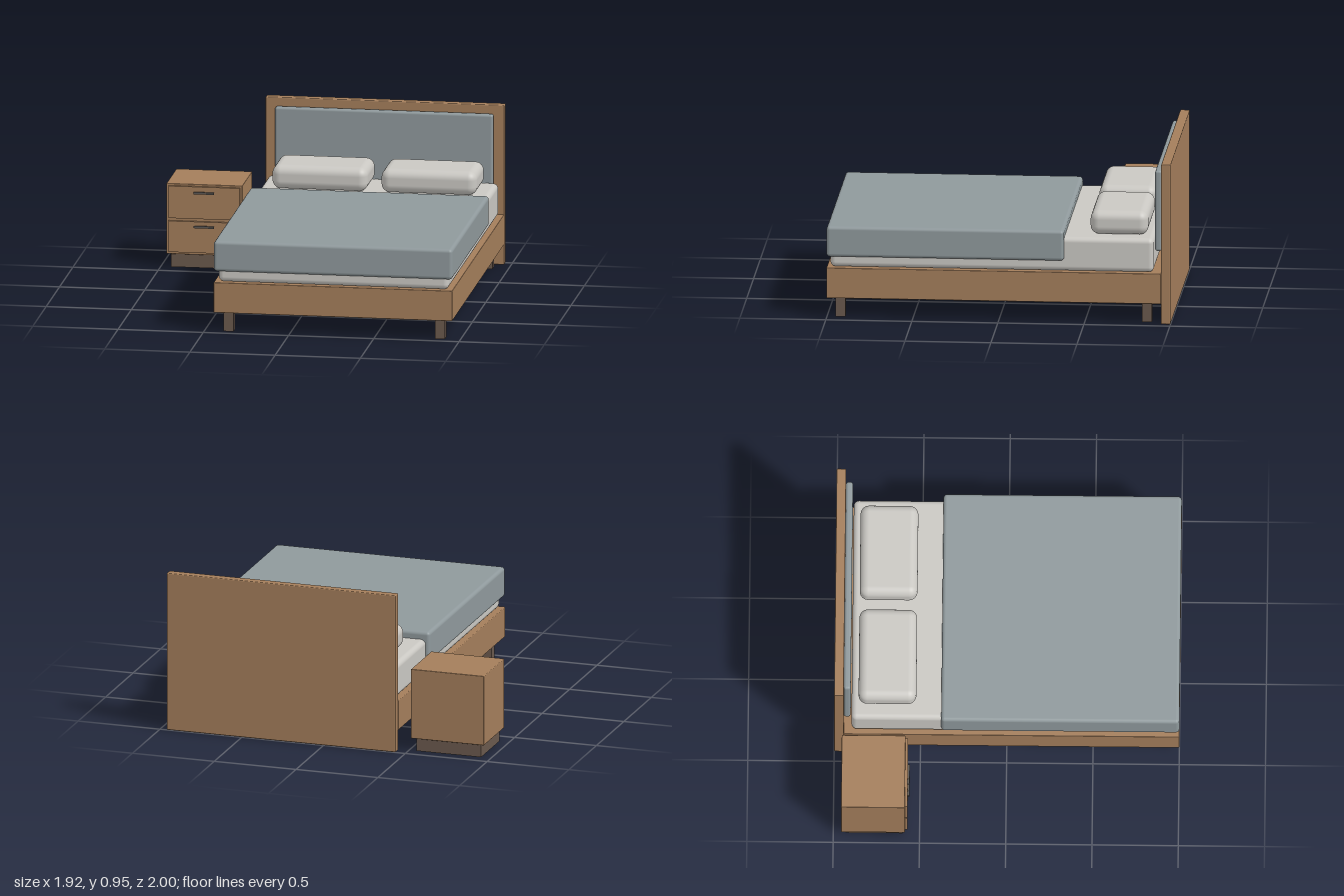
import * as THREE from 'three';
import { RoundedBoxGeometry } from 'three/addons/geometries/RoundedBoxGeometry.js';

const mat = (name, color) => {
  const m = new THREE.MeshStandardMaterial({ color });
  m.name = name;
  return m;
};

export function createModel() {
  const wood = mat('wood', 0xa47e5b);
  const darkWood = mat('dark wood', 0x6a594d);
  const handleMetal = mat('handle metal', 0x5c5854);
  const linen = mat('linen', 0xcac8c3);
  const fabric = mat('blue grey fabric', 0x8f999c);

  // Box given by its [min, max] extents; radius 0 keeps sharp edges
  const box = (parent, name, material, [x0, x1], [y0, y1], [z0, z1], radius = 0, segments = 4) => {
    const size = [x1 - x0, y1 - y0, z1 - z0];
    const geometry = radius
      ? new RoundedBoxGeometry(...size, segments, radius)
      : new THREE.BoxGeometry(...size);
    const mesh = new THREE.Mesh(geometry, material);
    mesh.name = name;
    mesh.position.set((x0 + x1) / 2, (y0 + y1) / 2, (z0 + z1) / 2);
    parent.add(mesh);
    return mesh;
  };

  const model = new THREE.Group();
  model.name = 'bedAndNightstand';

  // Bed, centred on its own x = 0
  const bed = new THREE.Group();
  bed.name = 'bed';
  bed.position.x = 0.26;
  model.add(bed);

  box(bed, 'bedFrame', wood, [-0.7, 0.7], [0.12, 0.3], [-0.945, 1], 0.004, 2);
  box(bed, 'headboard', wood, [-0.7, 0.7], [0, 0.95], [-1, -0.945], 0.006, 2);
  box(bed, 'headboardPad', fabric, [-0.64, 0.64], [0.42, 0.9], [-0.945, -0.905], 0.015);
  box(bed, 'mattress', linen, [-0.675, 0.675], [0.3, 0.5], [-0.9, 0.98], 0.03);
  box(bed, 'blanket', fabric, [-0.7, 0.7], [0.365, 0.545], [-0.38, 1], 0.02);

  // Pillows and legs, mirrored across the bed
  for (const side of [-1, 1]) {
    const px = side * 0.32;
    box(bed, 'pillow', linen, [px - 0.28, px + 0.28], [0.5, 0.64], [-0.86, -0.525], 0.05, 6);
    const lx = side * 0.62;
    for (const z of [-0.86, 0.922]) {
      box(bed, 'bedLeg', darkWood, [lx - 0.029, lx + 0.029], [0, 0.12], [z - 0.028, z + 0.028]);
    }
  }

  // Nightstand
  const stand = new THREE.Group();
  stand.name = 'nightstand';
  stand.position.x = -0.742;
  model.add(stand);

  box(stand, 'plinth', darkWood, [-0.198, 0.198], [0, 0.08], [-0.93, -0.6]);
  box(stand, 'cabinet', wood, [-0.223, 0.223], [0.08, 0.5], [-0.955, -0.585], 0.004, 2);
  for (const [y0, y1, handleY] of [[0.095, 0.28, 0.25], [0.297, 0.488, 0.452]]) {
    box(stand, 'drawerFront', wood, [-0.209, 0.209], [y0, y1], [-0.587, -0.57]);
    box(stand, 'drawerHandle', handleMetal, [-0.059, 0.059], [handleY - 0.006, handleY + 0.006], [-0.571, -0.559]);
  }

  return model;
}
